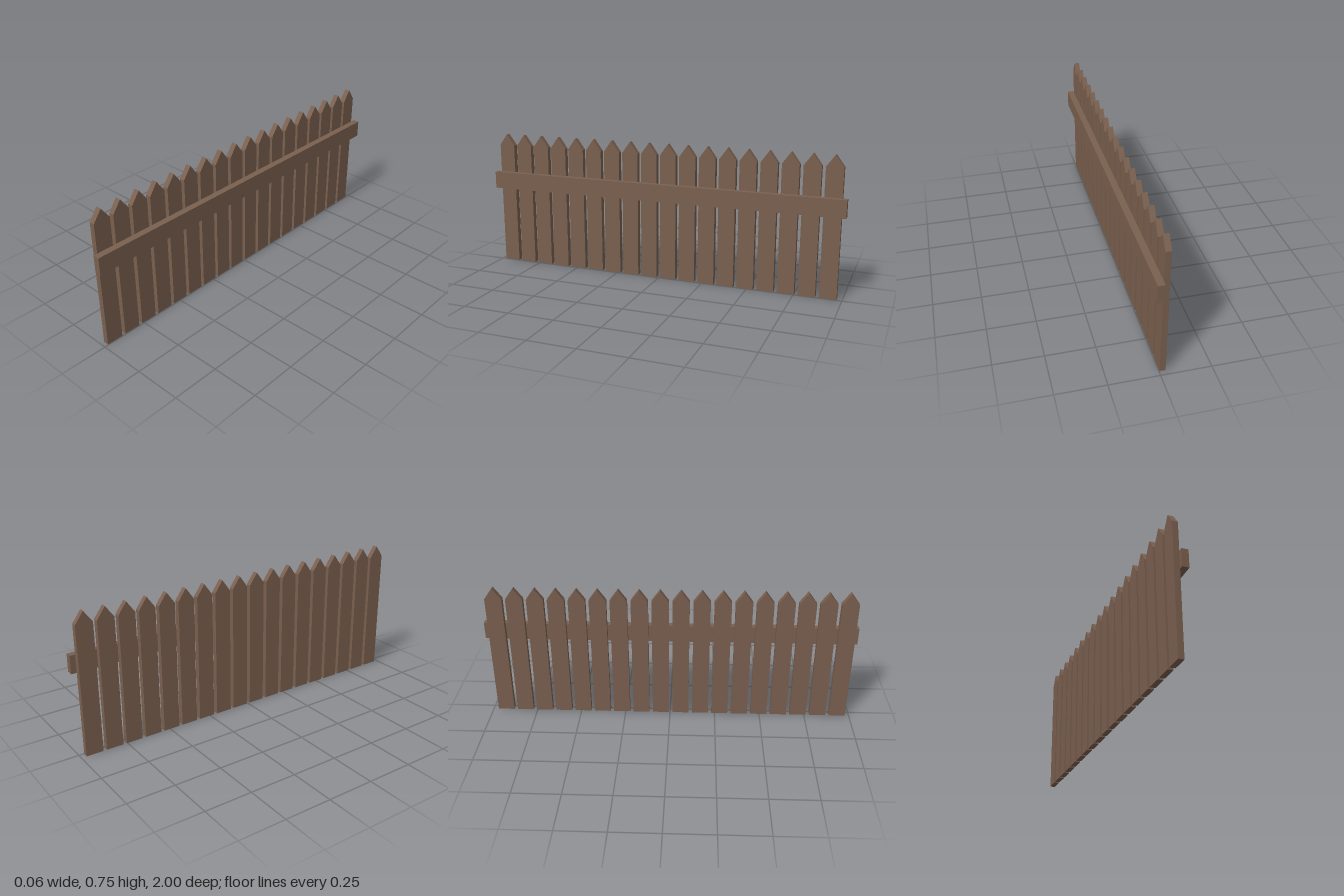
import * as THREE from 'three';

const PICKETS = 18;
const FIRST_Z = 0.934;
const SPACING = 0.1095;
const WIDTH = 0.09;
const THICKNESS = 0.029;
const SHOULDER = 0.688;
const PEAK = 0.75;

export function createModel() {
  const fence = new THREE.Group();
  fence.name = 'picketFence';
  const wood = new THREE.MeshStandardMaterial({ color: 0x7a604f, flatShading: true });

  // Pointed board outline, extruded through its thickness and turned to face x
  const outline = new THREE.Shape([
    new THREE.Vector2(-WIDTH / 2, 0),
    new THREE.Vector2(WIDTH / 2, 0),
    new THREE.Vector2(WIDTH / 2, SHOULDER),
    new THREE.Vector2(0, PEAK),
    new THREE.Vector2(-WIDTH / 2, SHOULDER),
  ]);
  const board = new THREE.ExtrudeGeometry(outline, { depth: THICKNESS, bevelEnabled: false });
  board.rotateY(Math.PI / 2);

  // Row of pickets
  for (let i = 0; i < PICKETS; i++) {
    const picket = new THREE.Mesh(board, wood);
    picket.name = `picket${i + 1}`;
    picket.position.set(-0.032, 0, FIRST_Z - i * SPACING);
    fence.add(picket);
  }

  // Horizontal rail fixed to the pickets' +x faces
  const rail = new THREE.Mesh(new THREE.BoxGeometry(0.035, 0.094, 2), wood);
  rail.name = 'rail';
  rail.position.set(0.0145, 0.487, 0);
  fence.add(rail);

  return fence;
}
